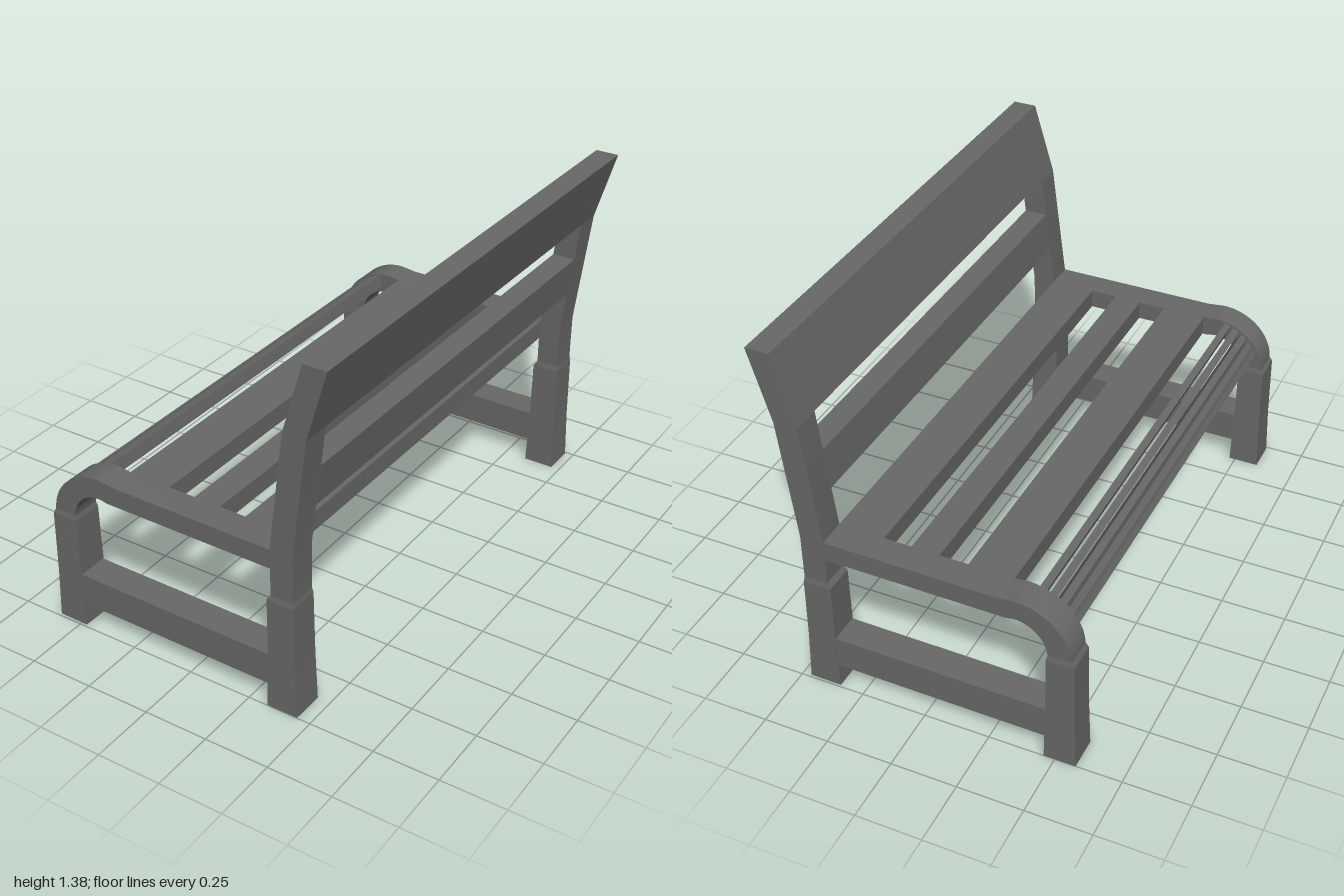
import * as THREE from 'three';
import { toCreasedNormals } from 'three/addons/utils/BufferGeometryUtils.js';

const Z_IN = 0.88, Z_OUT = 0.99;
const ARC = { x: -0.36, y: 0.46 }; // centre of the rolled front edge

export function createModel() {
  const bench = new THREE.Group();
  bench.name = 'bench';
  const material = new THREE.MeshStandardMaterial({ color: 0x686868 });

  const add = (name, geometry) => {
    const mesh = new THREE.Mesh(toCreasedNormals(geometry, 0.14), material);
    mesh.name = name;
    bench.add(mesh);
  };

  // Extrude an outline drawn in x/y between two z values
  const extrude = (name, shape, z0, z1) => {
    const g = new THREE.ExtrudeGeometry(shape, { depth: z1 - z0, bevelEnabled: false, curveSegments: 14 });
    add(name, g.translate(0, 0, z0));
  };
  const poly = (pts) => new THREE.Shape(pts.map(([x, y]) => new THREE.Vector2(x, y)));
  const rect = (x0, x1, y0, y1) => poly([[x0, y0], [x1, y0], [x1, y1], [x0, y1]]);

  // Rectangular column through sections [y, x0, x1, z0, z1]
  const column = (name, sections) => {
    const pos = [];
    const ring = ([y, x0, x1, z0, z1]) => [[x0, y, z1], [x1, y, z1], [x1, y, z0], [x0, y, z0]];
    const quad = (a, b, c, d) => pos.push(...a, ...b, ...c, ...a, ...c, ...d);
    const rings = sections.map(ring);
    for (let i = 0; i + 1 < rings.length; i++) {
      for (let k = 0; k < 4; k++) {
        const n = (k + 1) % 4;
        quad(rings[i][k], rings[i][n], rings[i + 1][n], rings[i + 1][k]);
      }
    }
    const [a, b, c, d] = rings[0];
    quad(d, c, b, a);
    quad(...rings[rings.length - 1]);
    const g = new THREE.BufferGeometry();
    g.setAttribute('position', new THREE.Float32BufferAttribute(pos, 3));
    g.computeVertexNormals();
    add(name, g);
  };

  // Front and rear lines of the leaning back
  const rearDepth = 0.09;
  const backX = (y) => (y < 1.11 ? 0.357 + (y - 0.65) * 0.126 : 0.415 + (y - 1.11) * 0.296);
  const backBoard = (y0, y1) => poly([
    [backX(y0), y0], [backX(y0) + rearDepth, y0], [backX(y1) + rearDepth, y1], [backX(y1), y1],
  ]);

  // Seat rail rolling down into the front leg
  const rail = new THREE.Shape();
  rail.moveTo(-0.568, ARC.y);
  rail.absellipse(ARC.x, ARC.y, 0.208, 0.2, Math.PI, Math.PI / 2, true);
  rail.lineTo(-0.29, 0.652);
  rail.lineTo(0.36, 0.652);
  rail.lineTo(0.36, 0.577);
  rail.lineTo(-0.325, 0.577);
  rail.absellipse(ARC.x, ARC.y, 0.12, 0.123, Math.PI / 2, Math.PI, false);

  const post = poly([
    [0.357, 0.46], [0.446, 0.46], [0.447, 0.65], [0.505, 1.11],
    [0.585, 1.38], [0.495, 1.38], [0.415, 1.11], [0.357, 0.65],
  ]);

  // Two end frames
  for (const s of [1, -1]) {
    const side = s > 0 ? 'left' : 'right';
    const span = (a, b) => (s > 0 ? [a, b] : [-b, -a]);
    extrude(side + 'SeatRail', rail, ...span(Z_IN, Z_OUT));
    extrude(side + 'BackPost', post, ...span(Z_IN, Z_OUT));
    extrude(side + 'Stretcher', rect(-0.5, 0.38, 0.095, 0.22), ...span(0.875, 0.992));
    column(side + 'FrontLeg', [
      [0, -0.588, -0.468, ...span(0.869, 0.995)],
      [0.2, -0.581, -0.473, ...span(0.872, 0.994)],
      [0.45, -0.578, -0.475, ...span(0.876, 0.994)],
      [0.47, -0.568, -0.48, ...span(Z_IN, Z_OUT)],
    ]);
    column(side + 'BackLeg', [
      [0, 0.335, 0.457, ...span(0.869, 0.995)],
      [0.2, 0.341, 0.451, ...span(0.872, 0.994)],
      [0.45, 0.343, 0.449, ...span(0.876, 0.994)],
      [0.47, 0.357, 0.446, ...span(Z_IN, Z_OUT)],
    ]);
  }

  // Back boards
  extrude('topBackBoard', backBoard(1.112, 1.38), -Z_IN, Z_IN);
  extrude('middleBackBoard', backBoard(0.805, 0.96), -Z_IN, Z_IN);

  // Wide seat slats
  for (const [x0, x1] of [[-0.309, -0.138], [-0.03, 0.077], [0.182, 0.358]]) {
    extrude('seatSlat', rect(x0, x1, 0.577, 0.652), -Z_IN, Z_IN);
  }

  // Narrow slats around the rolled front edge
  for (let i = 0; i < 5; i++) {
    const a = THREE.MathUtils.degToRad(102 + i * 11.8);
    const b = a + THREE.MathUtils.degToRad(8);
    const at = (r, t) => [ARC.x + r * Math.cos(t), ARC.y + r * Math.sin(t)];
    extrude('frontSlat', poly([at(0.145, a), at(0.195, a), at(0.195, b), at(0.145, b)]), -Z_IN, Z_IN);
  }

  // Very slight turn of the whole bench
  bench.rotation.y = -0.0095;
  const model = new THREE.Group();
  model.name = 'parkBench';
  model.add(bench);
  return model;
}
